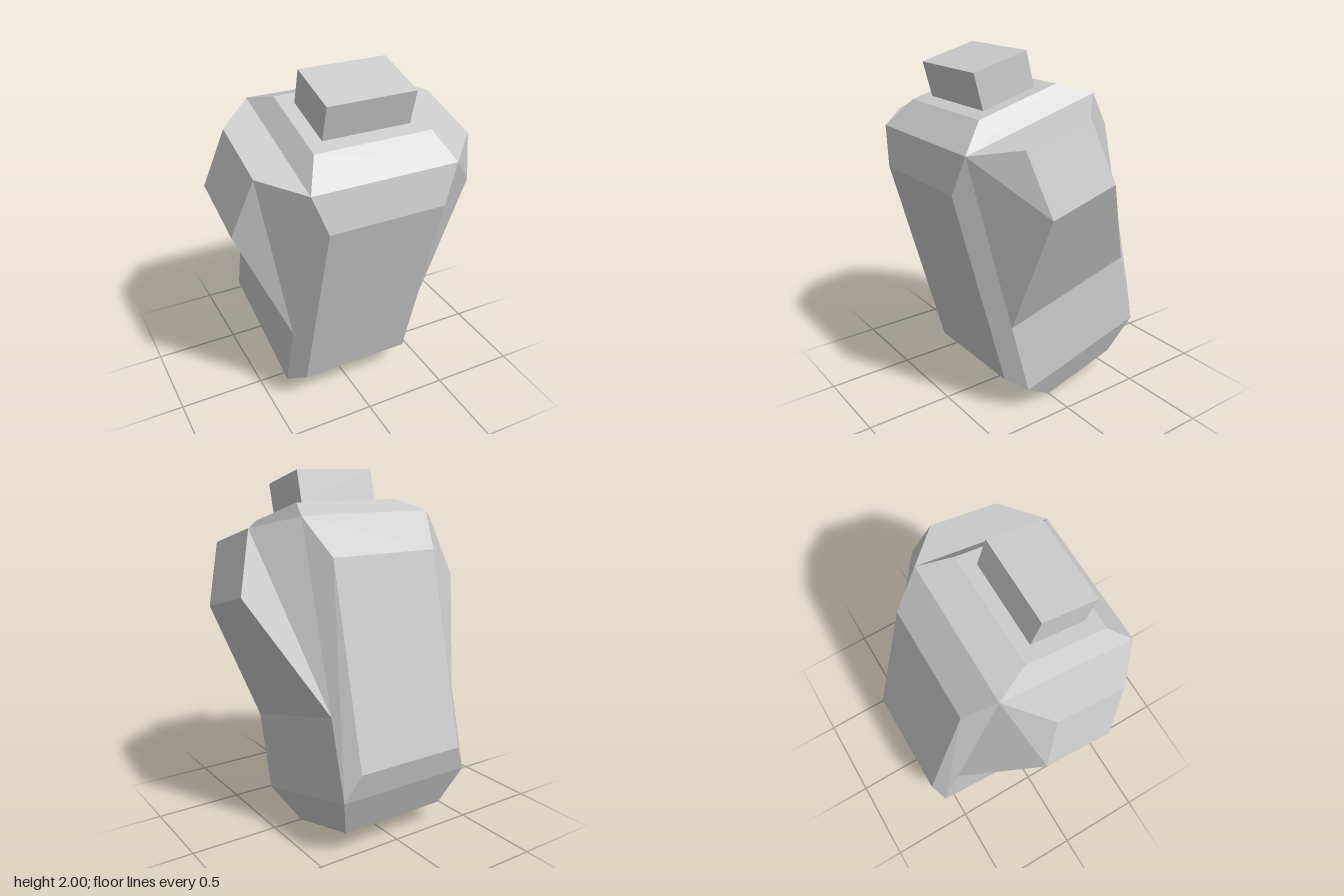
import * as THREE from 'three';
import { ConvexGeometry } from 'three/addons/geometries/ConvexGeometry.js';

const material = new THREE.MeshStandardMaterial({ color: 0xcccccc, flatShading: true });

function addMesh(parent, name, geometry) {
  const mesh = new THREE.Mesh(geometry, material);
  mesh.name = name;
  parent.add(mesh);
  return mesh;
}

// Chamfered torso: an octagonal profile capped by a smaller rectangle on each side
function torsoGeometry() {
  const profile = [[0.25, 1.474], [0.25, 0.295], [0, 0], [-0.487, 0],
    [-0.729, 0.337], [-0.76, 1.435], [-0.486, 1.77], [0, 1.77]];
  const sidePanel = [[0.164, 1.669], [0.164, 0.199], [-0.649, 0.199], [-0.649, 1.669]];
  const points = [];
  for (const side of [-1, 1]) {
    for (const [z, y] of profile) points.push(new THREE.Vector3(side * 0.325, y, z));
    for (const [z, y] of sidePanel) points.push(new THREE.Vector3(side * 0.405, y, z));
  }
  return new ConvexGeometry(points);
}

// Faceted shoulder rising from the torso side; side is +1 (left) or -1 (right)
function shoulderGeometry(side) {
  const corner = {
    topFront: [0.405, 1.669, 0.164], topBack: [0.405, 1.669, -0.649],
    lowFront: [0.405, 0.644, 0.164], lowBack: [0.405, 0.644, -0.652],
    upperFront: [0.605, 1.657, -0.04], upperBack: [0.605, 1.657, -0.445],
    outerFront: [0.705, 1.309, -0.04], outerBack: [0.705, 1.309, -0.447],
  };
  const faces = [
    ['topFront', 'upperFront', 'upperBack', 'topBack'],
    ['upperFront', 'outerFront', 'outerBack', 'upperBack'],
    ['outerFront', 'lowFront', 'lowBack', 'outerBack'],
    // the front and back facets are folded on different diagonals per side
    side > 0 ? ['topFront', 'lowFront', 'outerFront', 'upperFront']
      : ['upperFront', 'topFront', 'lowFront', 'outerFront'],
    side > 0 ? ['upperBack', 'outerBack', 'lowBack', 'topBack']
      : ['topBack', 'upperBack', 'outerBack', 'lowBack'],
  ];
  const positions = [];
  for (const [a, b, c, d] of faces) {
    for (const triangle of [[a, b, c], [a, c, d]]) {
      if (side < 0) triangle.reverse();
      for (const key of triangle) {
        const [x, y, z] = corner[key];
        positions.push(x * side, y, z);
      }
    }
  }
  const geometry = new THREE.BufferGeometry();
  geometry.setAttribute('position', new THREE.Float32BufferAttribute(positions, 3));
  geometry.computeVertexNormals();
  return geometry;
}

export function createModel() {
  const model = new THREE.Group();
  model.name = 'torso';

  // The whole body leans forward
  const body = new THREE.Group();
  body.name = 'leaningBody';
  body.rotation.x = THREE.MathUtils.degToRad(15);
  model.add(body);

  addMesh(body, 'chest', torsoGeometry());
  addMesh(body, 'leftShoulder', shoulderGeometry(1));
  addMesh(body, 'rightShoulder', shoulderGeometry(-1));

  // Neck block
  const neck = addMesh(body, 'neck', new THREE.BoxGeometry(0.49, 0.197, 0.326));
  neck.position.set(0, 1.866, -0.243);

  return model;
}
